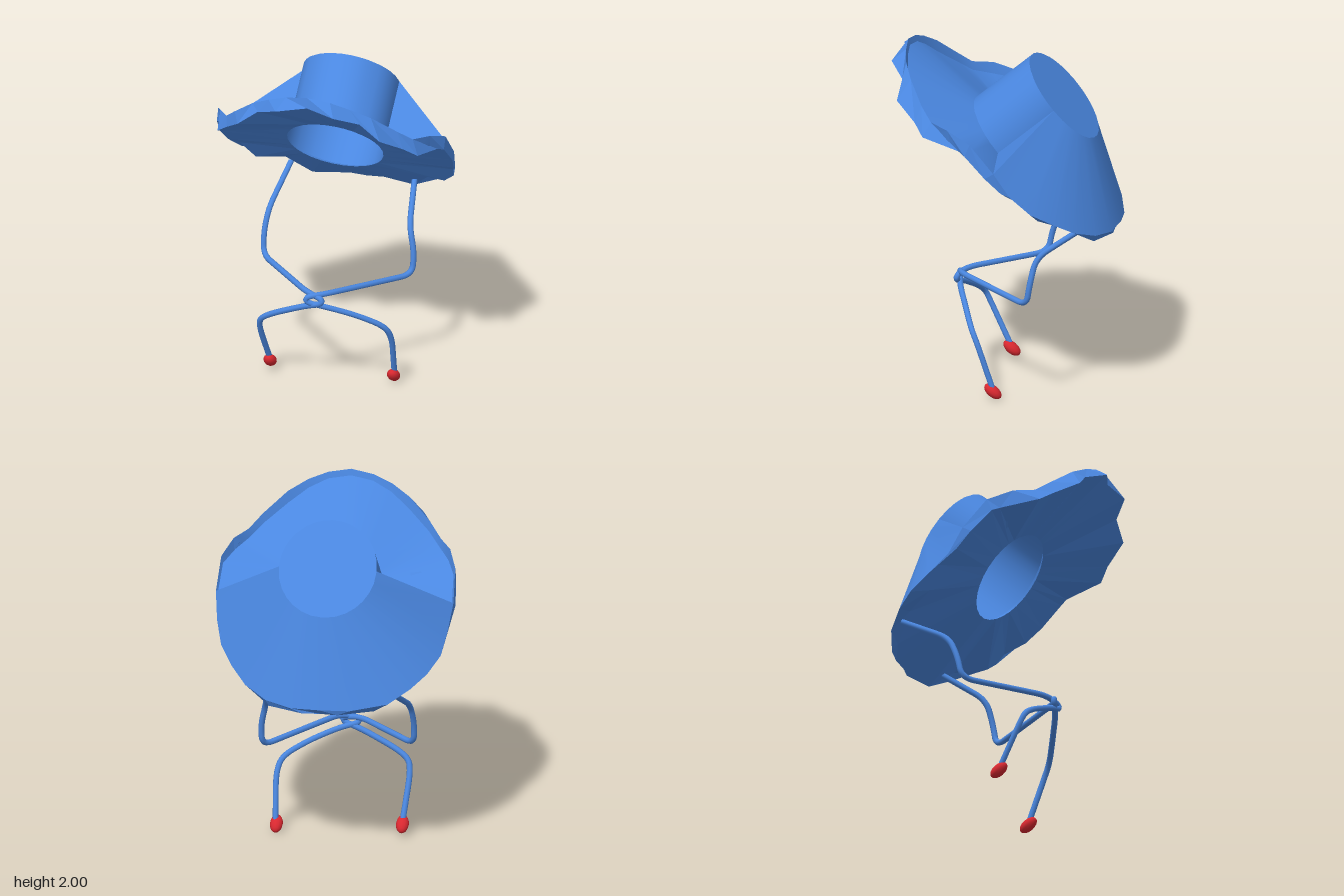
import * as THREE from 'three';

const V = (x, y, z) => new THREE.Vector3(x, y, z);
const blue = new THREE.MeshStandardMaterial({ color: 0x4a87e0, side: THREE.DoubleSide });
const pleated = new THREE.MeshStandardMaterial({ color: 0x4a87e0, side: THREE.DoubleSide, flatShading: true });
const red = new THREE.MeshStandardMaterial({ color: 0xd92830 });

// Tilted hat frame: crown axis, and the in-plane direction toward the raised front
const AXIS = V(0, 0.65, -0.76), UP = V(0, 0.76, 0.65), BASE = V(0, 1.45, 0);

// Half outlines of the rim, front middle to back middle: x, y, z
const TOP_EDGE = [
  [0, 2, 0.58], [0.13, 1.98, 0.565], [0.24, 1.94, 0.54], [0.35, 1.88, 0.49],
  [0.48, 1.77, 0.40], [0.55, 1.70, 0.33], [0.62, 1.68, 0.22], [0.67, 1.62, 0.08],
  [0.68, 1.46, -0.06], [0.66, 1.32, -0.15], [0.62, 1.21, -0.26], [0.54, 1.13, -0.38],
  [0.45, 1.06, -0.48], [0.32, 1.01, -0.575], [0.17, 0.99, -0.635], [0, 0.99, -0.645],
];
const WAVY_EDGE = [
  [0, 1.94, 0.59], [0.17, 1.92, 0.64], [0.30, 1.86, 0.55], [0.42, 1.77, 0.555],
  [0.52, 1.68, 0.43], [0.59, 1.62, 0.37], [0.643, 1.57, 0.15], [0.67, 1.55, 0.11],
  [0.685, 1.43, -0.01], [0.665, 1.34, -0.1], [0.63, 1.27, -0.215], [0.555, 1.155, -0.29],
  [0.43, 1.10, -0.45], [0.30, 0.97, -0.56], [0.1, 0.96, -0.63], [0, 0.96, -0.62],
];
const SIDE = 8; // rim point where the folded back begins

// Mirror a half outline into a full ring
function ring(half) {
  const right = half.map((p) => V(...p));
  const left = right.slice(1, -1).reverse().map((p) => V(-p.x, p.y, p.z));
  return [...right, ...left];
}

// Skin a surface across matching rows of points
function loft(name, rows, closed = false, material = blue) {
  const n = rows[0].length, index = [];
  for (let r = 0; r < rows.length - 1; r++) {
    for (let i = 0; i < (closed ? n : n - 1); i++) {
      const j = (i + 1) % n, a = r * n + i, b = a + n, c = (r + 1) * n + j, d = r * n + j;
      index.push(a, b, c, a, c, d);
    }
  }
  const geo = new THREE.BufferGeometry().setFromPoints(rows.flat());
  geo.setIndex(index);
  geo.computeVertexNormals();
  const mesh = new THREE.Mesh(geo, material);
  mesh.name = name;
  return mesh;
}

function makeHat() {
  const hat = new THREE.Group();
  hat.name = 'hat';
  const rim = ring(TOP_EDGE), wavy = ring(WAVY_EDGE), n = rim.length;
  // The fold bulges a little on the right of its back
  rim[n - 10].set(-0.64, 1.22, -0.275);
  rim[n - 11].set(-0.58, 1.15, -0.40);
  rim[n - 12].set(-0.50, 1.09, -0.49);
  rim[n - 13].set(-0.38, 1.02, -0.575);

  // Crown circles share the rim's angles
  const angles = ring(TOP_EDGE).map((p, i) => {
    if (i === SIDE) return 0;
    if (i === n - SIDE) return Math.PI;
    return Math.atan2(p.sub(BASE).dot(UP) / 0.77, p.x / 0.68);
  });
  const circle = (height, depth) => angles.map((t) => BASE.clone().addScaledVector(AXIS, height)
    .add(V(0.28 * Math.cos(t), 0, 0)).addScaledVector(UP, depth * Math.sin(t)));
  const top = circle(0.425, 0.295), base = circle(0, 0.295), opening = circle(-0.015, 0.275);
  const centre = BASE.clone().addScaledVector(AXIS, 0.425);
  hat.add(loft('crownWall', [top, base], true));
  hat.add(loft('crownTop', [top.map(() => centre), top], true));

  // Brim: open front with a raised lip, folded back, wavy band and underside
  const lip = rim.map((p, i) => base[i].clone().lerp(p, 0.975).setY(p.y - 0.6 * (p.y - wavy[i].y)));
  const front = (r) => [...r.slice(n - SIDE), ...r.slice(0, SIDE + 1)];
  const back = (r) => r.slice(SIDE, n - SIDE + 1);
  hat.add(loft('frontBrim', [base, lip].map(front)));
  hat.add(loft('raisedLip', [lip, rim].map(front)));
  hat.add(loft('foldedBack', [top, rim].map(back)));
  hat.add(loft('rimBand', [rim, wavy], true, pleated));
  hat.add(loft('brimUnderside', [wavy, opening], true, pleated));
  hat.add(loft('openingEdge', [opening, base], true));

  // Triangular end walls of the folded back
  for (const i of [SIDE, n - SIDE]) {
    const tri = [top[i], base[i], rim[i]];
    if (i !== SIDE) tri.reverse();
    const geo = new THREE.BufferGeometry().setFromPoints(tri);
    geo.computeVertexNormals();
    const wall = new THREE.Mesh(geo, blue);
    wall.name = 'foldEndWall';
    hat.add(wall);
  }
  return hat;
}

// Chin cord: straight runs with rounded corners
function makeCord(name, points) {
  const path = new THREE.CurvePath();
  const pts = points.map((p) => V(...p));
  let from = pts[0];
  for (let i = 1; i < pts.length - 1; i++) {
    const cut = (q) => pts[i].clone().lerp(q, Math.min(0.45, 0.08 / pts[i].distanceTo(q)));
    const a = cut(pts[i - 1]), b = cut(pts[i + 1]);
    path.add(new THREE.LineCurve3(from, a));
    path.add(new THREE.QuadraticBezierCurve3(a, pts[i], b));
    from = b;
  }
  path.add(new THREE.LineCurve3(from, pts[pts.length - 1]));
  const mesh = new THREE.Mesh(new THREE.TubeGeometry(path, 140, 0.017, 8), blue);
  mesh.name = name;
  return mesh;
}

function makeBead(name, x, y, z) {
  const bead = new THREE.Mesh(new THREE.SphereGeometry(1, 12, 8), red);
  bead.name = name;
  bead.scale.set(0.037, 0.058, 0.033);
  bead.rotation.x = 0.9;
  bead.position.set(x, y, z);
  return bead;
}

export function createModel() {
  const model = new THREE.Group();
  model.name = 'hatWithChinCord';
  model.add(makeHat());
  // The two cords hook through each other at the middle
  model.add(makeCord('rightCord', [
    [-0.41, 1.05, -0.5], [-0.455, 0.89, -0.21], [-0.47, 0.76, -0.155], [-0.465, 0.625, -0.13],
    [-0.1, 0.625, 0.26], [0.01, 0.605, 0.3], [0.0, 0.575, 0.3], [-0.1, 0.545, 0.285],
    [-0.3, 0.455, 0.245], [-0.385, 0.4, 0.22], [-0.395, 0.32, 0.185], [-0.37, 0.08, 0.065],
  ]));
  model.add(makeCord('leftCord', [
    [0.32, 1.05, -0.5], [0.365, 0.87, -0.24], [0.4, 0.72, -0.21], [0.395, 0.59, -0.19],
    [0.02, 0.63, 0.27], [-0.09, 0.61, 0.3], [-0.09, 0.575, 0.3], [0.02, 0.55, 0.275],
    [0.18, 0.49, 0.21], [0.33, 0.41, 0.145], [0.36, 0.32, 0.1], [0.35, 0.06, 0.015],
  ]));
  model.add(makeBead('rightBead', -0.37, 0.065, 0.06));
  model.add(makeBead('leftBead', 0.345, 0.046, 0.015));
  return model;
}
